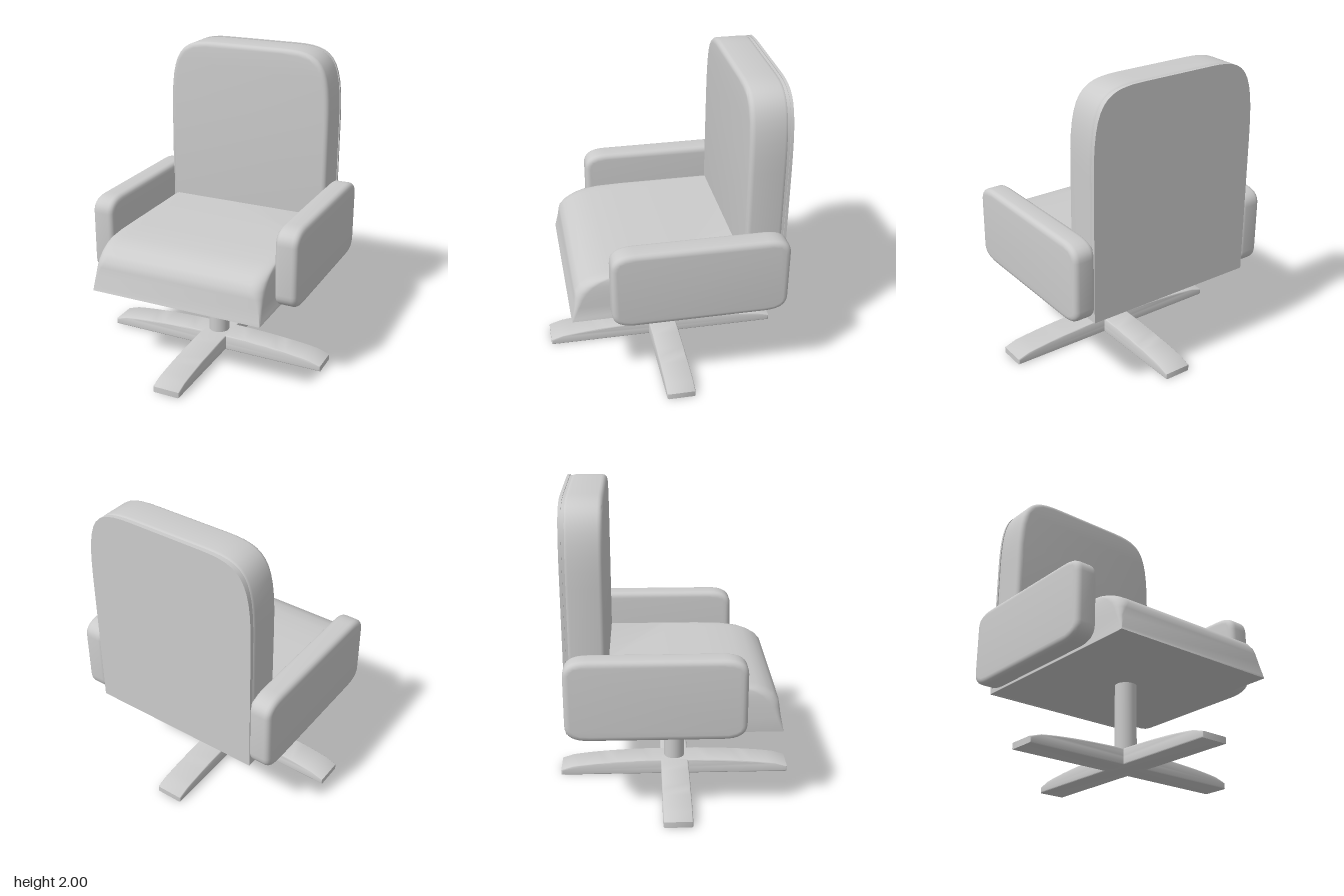
import * as THREE from 'three';
import { toCreasedNormals, mergeVertices } from 'three/addons/utils/BufferGeometryUtils.js';

const material = new THREE.MeshStandardMaterial({ color: 0xcccccc });

function addMesh(parent, name, geometry) {
  const mesh = new THREE.Mesh(geometry, material);
  mesh.name = name;
  parent.add(mesh);
  return mesh;
}

// Extrusion centred on z = 0, its bevel kept inside the outline and depth
function slab(shape, depth, bevel, curveSegments = 8) {
  const geometry = new THREE.ExtrudeGeometry(shape, {
    depth: depth - 2 * bevel, bevelEnabled: bevel > 0, bevelThickness: bevel,
    bevelSize: bevel, bevelOffset: -bevel, bevelSegments: 4, curveSegments,
  });
  geometry.translate(0, 0, bevel - depth / 2);
  return toCreasedNormals(geometry, 0.7);
}

// Tall panel with broad rounded shoulders
function backOutline(inset = 0) {
  const w = 0.585 - inset, top = 2 - inset, bottom = 0.56 + inset;
  const s = new THREE.Shape();
  s.moveTo(-w, bottom);
  s.lineTo(w, bottom);
  s.lineTo(w, 1.5);
  s.bezierCurveTo(w, 1.94, 0.51, top, 0.25, top);
  s.lineTo(-0.25, top);
  s.bezierCurveTo(-0.51, top, -w, 1.94, -w, 1.5);
  return s;
}

function roundedRect(x0, y0, x1, y1, rx, ry) {
  const s = new THREE.Shape();
  s.moveTo(x0 + rx, y0);
  s.lineTo(x1 - rx, y0);
  s.quadraticCurveTo(x1, y0, x1, y0 + ry);
  s.lineTo(x1, y1 - ry);
  s.quadraticCurveTo(x1, y1, x1 - rx, y1);
  s.lineTo(x0 + rx, y1);
  s.quadraticCurveTo(x0, y1, x0, y1 - ry);
  s.lineTo(x0, y0 + ry);
  s.quadraticCurveTo(x0, y0, x0 + rx, y0);
  return s;
}

// Seat lofted from level outlines: [height, half width, front z, front corner radius]
function seatGeometry() {
  const levels = [
    [0.56, 0.585, 0.665, 0.004], [0.58, 0.585, 0.66, 0.008], [0.66, 0.582, 0.645, 0.03],
    [0.72, 0.58, 0.638, 0.05], [0.76, 0.578, 0.632, 0.07], [0.8, 0.576, 0.6, 0.08],
    [0.83, 0.574, 0.55, 0.08], [0.85, 0.57, 0.5, 0.08], [0.865, 0.562, 0.41, 0.08],
    [0.875, 0.55, 0.25, 0.08], [0.882, 0.53, 0, 0.08],
  ];
  const back = -0.67, steps = 6, positions = [], index = [];
  for (const [y, w, front, r] of levels) {
    positions.push(-w, y, back);
    for (const side of [-1, 1]) {
      for (let i = 0; i <= steps; i++) {
        const a = (side < 0 ? i : steps - i) / steps * Math.PI / 2;
        positions.push(side * (w - r + r * Math.cos(a)), y, front - r + r * Math.sin(a));
      }
    }
    positions.push(w, y, back);
  }
  const n = 2 * steps + 4;
  for (let l = 0; l < levels.length - 1; l++) {
    for (let i = 0; i < n; i++) {
      const a = l * n + i, b = l * n + (i + 1) % n;
      index.push(a, b, b + n, a, b + n, a + n);
    }
  }
  const last = (levels.length - 1) * n;
  for (let i = 1; i < n - 1; i++) {
    index.push(0, i + 1, i);
    index.push(last, last + i, last + i + 1);
  }
  const geometry = new THREE.BufferGeometry();
  geometry.setAttribute('position', new THREE.Float32BufferAttribute(positions, 3));
  geometry.setIndex(index);
  return toCreasedNormals(mergeVertices(geometry), 0.8);
}

export function createModel() {
  const chair = new THREE.Group();
  chair.name = 'swivelArmchair';

  // Seat and backrest, with a thin seam in front of the rear panel
  addMesh(chair, 'seat', seatGeometry());
  addMesh(chair, 'backCushion', slab(backOutline(), 0.24, 0.032, 12)).position.z = -0.55;
  addMesh(chair, 'backSeam', slab(backOutline(0.006), 0.07, 0, 12)).position.z = -0.65;
  addMesh(chair, 'backPanel', slab(backOutline(), 0.018, 0, 12)).position.z = -0.681;

  // Padded armrests
  const armGeometry = slab(roundedRect(-0.69, 0.57, 0.425, 1.095, 0.15, 0.1), 0.15, 0.035);
  armGeometry.rotateY(-Math.PI / 2);
  for (const [name, side] of [['leftArmrest', 1], ['rightArmrest', -1]]) {
    addMesh(chair, name, armGeometry).position.x = side * 0.645;
  }

  // Pedestal column
  const column = addMesh(chair, 'column', new THREE.CylinderGeometry(0.07, 0.07, 0.5, 32));
  column.position.y = 0.33;

  // Crossed foot beams with arched tops
  const arch = new THREE.Shape();
  arch.moveTo(-0.78, 0);
  arch.lineTo(0.78, 0);
  arch.lineTo(0.78, 0.04);
  arch.lineTo(0.7, 0.066);
  arch.quadraticCurveTo(0.5, 0.096, 0.15, 0.104);
  arch.lineTo(-0.15, 0.104);
  arch.quadraticCurveTo(-0.5, 0.096, -0.7, 0.066);
  arch.lineTo(-0.78, 0.04);
  const beam = slab(arch, 0.188, 0.01);
  addMesh(chair, 'sideFeet', beam);
  addMesh(chair, 'frontAndBackFeet', beam).rotation.y = Math.PI / 2;

  return chair;
}
